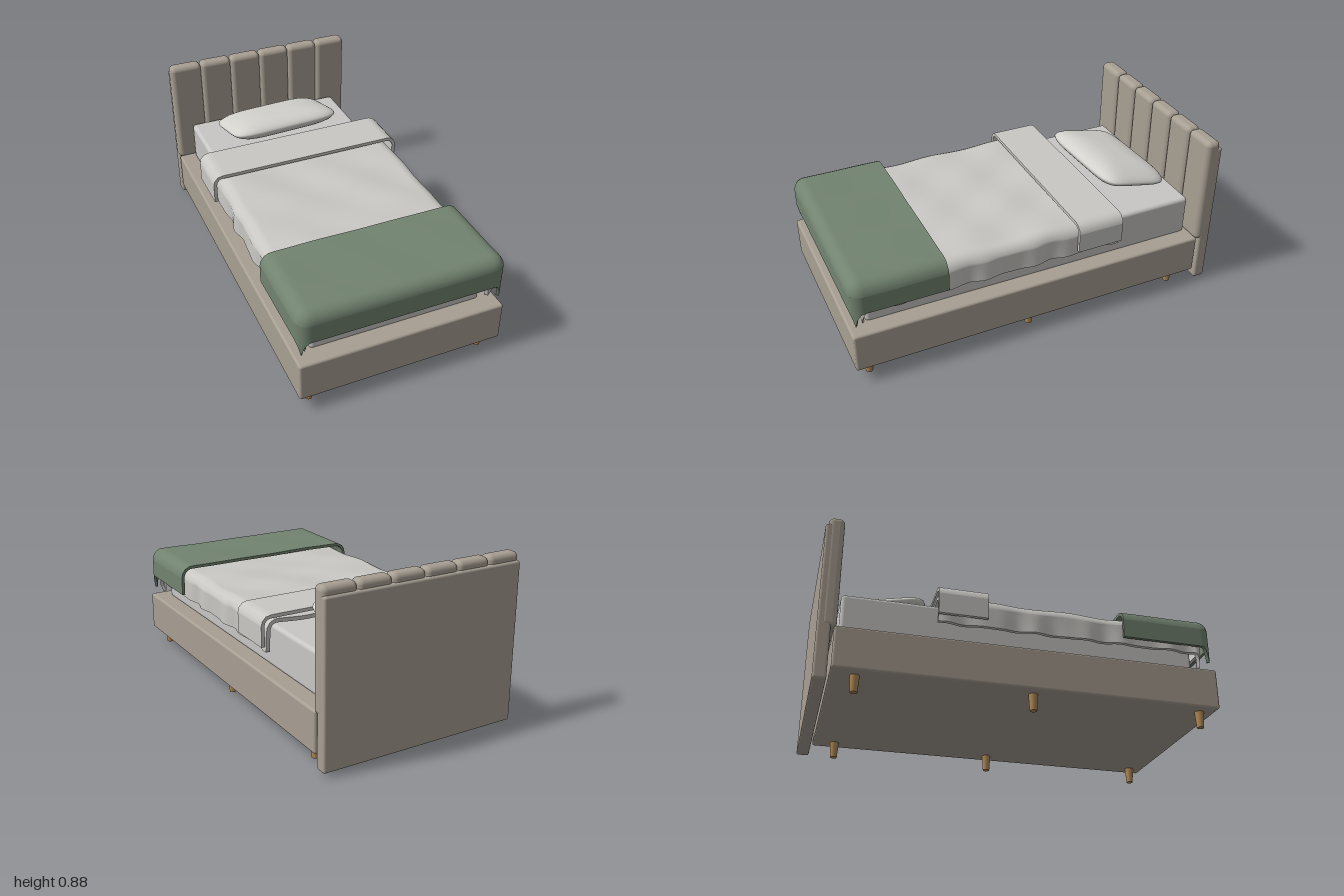
import * as THREE from 'three';
import { mergeVertices } from 'three/addons/utils/BufferGeometryUtils.js';
import { RoundedBoxGeometry } from 'three/addons/geometries/RoundedBoxGeometry.js';

const material = (name, color, side = THREE.FrontSide) => {
  const m = new THREE.MeshStandardMaterial({ color, side });
  m.name = name;
  return m;
};

// Rounded box given by its lower and upper corners
function block(name, mat, [x0, y0, z0], [x1, y1, z1], radius) {
  const mesh = new THREE.Mesh(new RoundedBoxGeometry(x1 - x0, y1 - y0, z1 - z0, 4, radius), mat);
  mesh.position.set((x0 + x1) / 2, (y0 + y1) / 2, (z0 + z1) / 2);
  mesh.name = name;
  return mesh;
}

// Thick cloth laid over a box: flat on top, rounded over the edges, hanging below.
// Where two overhangs meet, the cloth falls diagonally and the hem dips to a point.
function drape(name, mat, o) {
  const { halfX, back, front, r, top, bottom, thick, overFoot, wrinkle = 0, sway = 0 } = o;
  const bend = r * Math.PI / 2;
  const over = bend + top - r - bottom;
  const width = halfX + over;
  const end = front + (overFoot ? over : 0);

  const point = (s, t, inset) => {
    const u = (s * 2 - 1) * width, v = back + (end - back) * t;
    const cx = THREE.MathUtils.clamp(u, -halfX, halfX), cz = Math.min(v, front);
    const ex = u - cx, ez = v - cz, d = Math.hypot(ex, ez);
    const angle = Math.min(d / r, 1) * Math.PI / 2;
    const hang = Math.min(d / over, 1);
    const out = (r - inset) * Math.sin(angle)
      + sway * hang * (Math.sin(v * 27) + 0.5 * Math.sin(v * 43 + u));
    const bump = wrinkle * (1 - hang) * (Math.sin(u * 9 + v * 7) * Math.cos(v * 11 - u * 4)
      + 0.5 * Math.sin(u * 17 - v * 13));
    return [
      cx + (d ? ex / d : 0) * out,
      top - r + (r - inset) * Math.cos(angle) - Math.max(0, d - bend) + bump,
      cz + (d ? ez / d : 0) * out,
    ];
  };

  const positions = [], index = [];
  const addGrid = (fn, nx, ny) => {
    const base = positions.length / 3;
    for (let j = 0; j <= ny; j++)
      for (let i = 0; i <= nx; i++) positions.push(...fn(i / nx, j / ny));
    for (let j = 0; j < ny; j++)
      for (let i = 0; i < nx; i++) {
        const a = base + j * (nx + 1) + i, c = a + nx + 1;
        index.push(a, c, a + 1, a + 1, c, c + 1);
      }
  };
  const n = 72;
  addGrid((s, t) => point(s, t, 0), n, n);
  addGrid((s, t) => point(1 - s, t, thick), n, n);
  // Hem joining the outer and inner faces
  addGrid((s, t) => {
    const side = Math.min(3, Math.floor(s * 4 + 1e-9)), f = s * 4 - side;
    const [a, b] = [[f, 0], [1, f], [1 - f, 1], [0, 1 - f]][side];
    return point(a, b, thick * (1 - t));
  }, n * 4, 1);

  const g = new THREE.BufferGeometry();
  g.setAttribute('position', new THREE.Float32BufferAttribute(positions, 3));
  g.setIndex(index);
  g.computeVertexNormals();
  const mesh = new THREE.Mesh(g, mat);
  mesh.name = name;
  return mesh;
}

// Cushion with a rounded rectangular outline and a soft domed section
function cushion(name, mat, halfX, halfY, halfZ) {
  let g = new THREE.SphereGeometry(1, 64, 32);
  g.deleteAttribute('uv');
  g.deleteAttribute('normal');
  g = mergeVertices(g, 1e-4);
  const p = g.attributes.position;
  for (let i = 0; i < p.count; i++) {
    const x = p.getX(i), y = p.getY(i), z = p.getZ(i);
    const rho = Math.min(1, Math.hypot(x, z));
    const c = rho > 1e-6 ? x / rho : 0, s = rho > 1e-6 ? z / rho : 0;
    const stretch = rho > 1e-6 ? (c ** 6 + s ** 6) ** (-1 / 6) : 1;
    p.setXYZ(i, x * stretch * halfX,
      Math.sign(y) * halfY * Math.pow(1 - rho ** 3, 0.6), z * stretch * halfZ);
  }
  g.computeVertexNormals();
  const mesh = new THREE.Mesh(g, mat);
  mesh.name = name;
  return mesh;
}

export function createModel() {
  const bed = new THREE.Group();
  bed.name = 'bed';
  const upholstery = material('beige upholstery', 0xa89f93);
  const wood = material('wood', 0xb08a57);
  const sheet = material('mattress white', 0xc8c7c5);
  const linen = material('linen white', 0xc9c8c4, THREE.DoubleSide);
  const pillowCase = material('pillow white', 0xd2d1cc);
  const green = material('sage green', 0x728370, THREE.DoubleSide);

  // Base and mattress
  bed.add(block('bedBase', upholstery, [-0.535, 0.083, -0.92], [0.535, 0.295, 1], 0.012));
  bed.add(block('mattress', sheet, [-0.447, 0.29, -0.893], [0.447, 0.51, 0.91], 0.02));

  // Headboard: back panel with six padded channels
  const headboard = new THREE.Group();
  headboard.name = 'headboard';
  headboard.add(block('backPanel', upholstery, [-0.535, 0.022, -1], [0.535, 0.837, -0.935], 0.012));
  const w = 1.074 / 6;
  for (let i = 0; i < 6; i++) {
    const x = -0.537 + i * w;
    headboard.add(block('paddedChannel', upholstery,
      [x, 0.282, -0.986], [x + w, 0.878, -0.908], 0.027));
  }
  bed.add(headboard);

  // Tapered legs
  const legGeometry = new THREE.CylinderGeometry(0.024, 0.018, 0.09, 20);
  for (const x of [-0.46, 0.46])
    for (const z of [-0.805, 0.05, 0.92]) {
      const leg = new THREE.Mesh(legGeometry, wood);
      leg.position.set(x, 0.045, z);
      leg.name = 'leg';
      bed.add(leg);
    }

  // Bedding
  bed.add(drape('duvet', linen, {
    halfX: 0.452, back: -0.432, front: 0.905, r: 0.05, top: 0.55, bottom: 0.396,
    thick: 0.02, overFoot: true, wrinkle: 0.006, sway: 0.007,
  }));
  bed.add(drape('duvetFold', linen, {
    halfX: 0.487, back: -0.437, front: -0.19, r: 0.05, top: 0.583, bottom: 0.427,
    thick: 0.018, overFoot: false,
  }));
  bed.add(drape('throwBlanket', green, {
    halfX: 0.472, back: 0.51, front: 0.932, r: 0.063, top: 0.581, bottom: 0.421,
    thick: 0.016, overFoot: true, wrinkle: 0.0015,
  }));

  // Pillow, turned slightly and raised towards the foot
  const pillow = cushion('pillow', pillowCase, 0.315, 0.06, 0.202);
  pillow.rotation.set(-0.24, 0.05, 0, 'YXZ');
  pillow.position.set(-0.003, 0.578, -0.655);
  bed.add(pillow);

  return bed;
}
